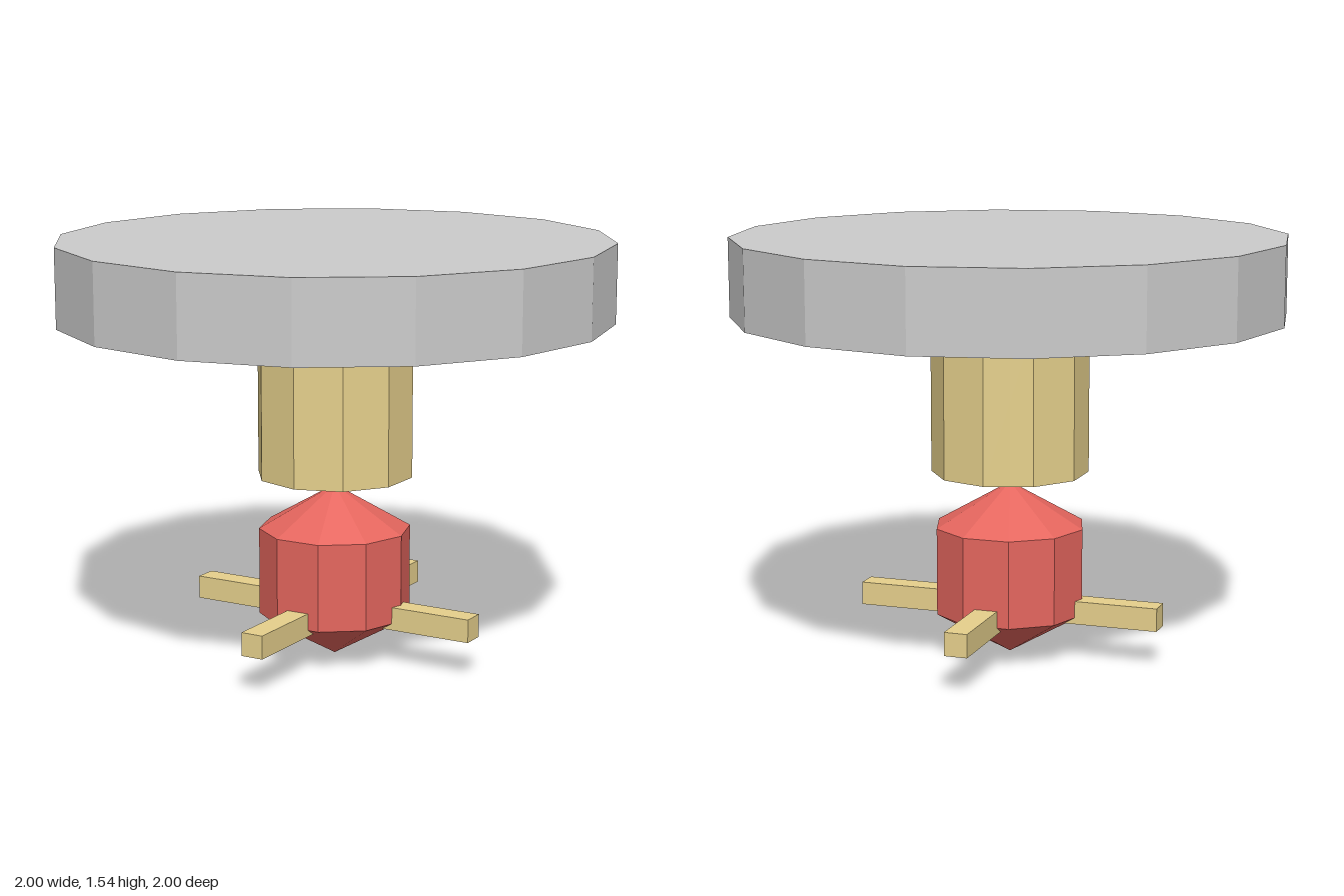
import * as THREE from 'three';

const paint = (color) => new THREE.MeshStandardMaterial({ color, flatShading: true });

export function createModel() {
  const model = new THREE.Group();
  const grey = paint(0xcccccc);
  const tan = paint(0xe6d08c);
  const red = paint(0xe5665e);

  const add = (name, geometry, material, y) => {
    const mesh = new THREE.Mesh(geometry, material);
    mesh.name = name;
    mesh.position.y = y;
    model.add(mesh);
    return mesh;
  };

  // Sixteen-sided slab on a ten-sided column
  add('topDisc', new THREE.CylinderGeometry(1, 1, 0.286, 16), grey, 1.393);
  add('column', new THREE.CylinderGeometry(0.286, 0.286, 0.572, 10), tan, 0.964);

  // Faceted ball floating just below the column
  add('ball', new THREE.SphereGeometry(0.32, 10, 3), red, 0.32);

  // Two crossed bars through the ball make four spokes
  for (let i = 0; i < 2; i++) {
    const bar = add('spokeBar', new THREE.BoxGeometry(1.142, 0.085, 0.085), tan, 0.179);
    bar.rotation.y = i * Math.PI / 2;
  }

  return model;
}
